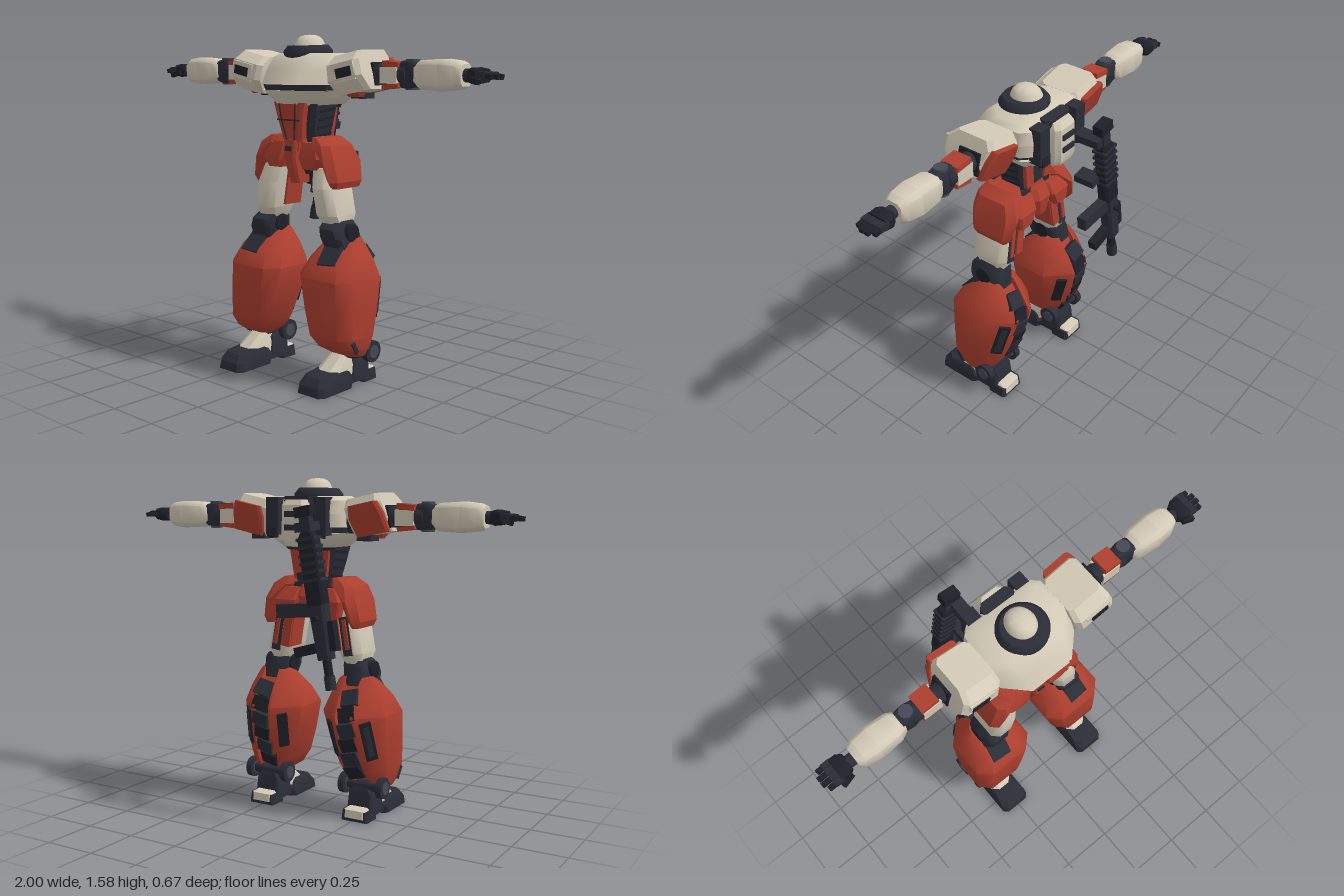
import * as THREE from 'three';
import { toCreasedNormals } from 'three/addons/utils/BufferGeometryUtils.js';

const paint = (name, color) => Object.assign(new THREE.MeshStandardMaterial({ color }), { name });

export function createModel() {
  const cream = paint('cream armour', 0xd3cab6), red = paint('red armour', 0xad3f2f);
  const dark = paint('dark frame', 0x2b2d37), black = paint('black metal', 0x1f2028);
  const grey = paint('grey joint', 0x444853);
  const model = new THREE.Group();
  model.name = 'robot';
  let parent = model, side = 1; // side mirrors every helper across x

  const add = (name, mat, geo, [x, y, z], [rx, ry, rz] = [0, 0, 0]) => {
    const m = new THREE.Mesh(geo, mat);
    m.name = name;
    m.position.set(x * side, y, z);
    m.rotation.set(rx, ry * side, rz * side);
    parent.add(m);
  };
  const box = (name, mat, size, pos, rot) => add(name, mat, new THREE.BoxGeometry(...size), pos, rot);
  const disc = (name, mat, r, len, pos, rot) =>
    add(name, mat, toCreasedNormals(new THREE.CylinderGeometry(r, r, len, 20), 0.6), pos, rot);

  // Box running from p to q: w wide, d deep along the normal n
  const bar = (name, mat, p, q, w, d, n) => {
    const a = new THREE.Vector3(p[0] * side, p[1], p[2]), b = new THREE.Vector3(q[0] * side, q[1], q[2]);
    const up = b.clone().sub(a), len = up.length();
    up.normalize();
    const right = new THREE.Vector3().crossVectors(up, new THREE.Vector3(n[0] * side, n[1], n[2])).normalize();
    const m = new THREE.Mesh(new THREE.BoxGeometry(w, len, d), mat);
    m.name = name;
    m.quaternion.setFromRotationMatrix(new THREE.Matrix4().makeBasis(right, up, right.clone().cross(up)));
    m.position.copy(a.add(b).multiplyScalar(0.5));
    parent.add(m);
  };

  // Chamfered sections [y, x0, x1, z0, z1, front chamfer, back chamfer], optional slot down the back
  const loft = (name, mat, sections, { pos = [0, 0, 0], rot, slot = 0, crease = 0.5 } = {}) => {
    const rings = sections.map(([y, a, b, z0, z1, f = 0.02, k = f]) => {
      const x0 = side < 0 ? -b : a, x1 = side < 0 ? -a : b, c = (x0 + x1) / 2;
      const cut = slot ? [[c + slot, z0], [c + slot, z0 + 0.03], [c - slot, z0 + 0.03], [c - slot, z0]] : [];
      return [[x1, z1 - f], [x1, z0 + k], [x1 - k, z0], ...cut, [x0 + k, z0], [x0, z0 + k], [x0, z1 - f],
        [x0 + f, z1], [x1 - f, z1]].map(([x, z]) => [x, y, z]);
    });
    const out = [], n = rings[0].length;
    const mid = r => [0, 1, 2].map(i => r.reduce((t, p) => t + p[i], 0) / n);
    const low = rings[0], high = rings[rings.length - 1], cl = mid(low), ch = mid(high);
    for (let i = 0; i < n; i++) {
      const j = (i + 1) % n;
      for (let k = 0; k + 1 < rings.length; k++) {
        const a = rings[k], b = rings[k + 1];
        out.push(...a[i], ...a[j], ...b[j], ...a[i], ...b[j], ...b[i]);
      }
      out.push(...cl, ...low[j], ...low[i], ...ch, ...high[i], ...high[j]);
    }
    const geo = new THREE.BufferGeometry();
    geo.setAttribute('position', new THREE.Float32BufferAttribute(out, 3));
    add(name, mat, toCreasedNormals(geo, crease), pos, rot);
  };
  const lathe = (name, mat, pts, pos, rot, zs) => {
    const geo = new THREE.LatheGeometry(pts.map(p => new THREE.Vector2(...p)), 32);
    add(name, mat, toCreasedNormals(geo, 0.8).scale(1, 1, zs), pos, rot);
  };
  const assembly = name => {
    parent = new THREE.Group();
    parent.name = name;
    model.add(parent);
    return parent;
  };

  // Head
  assembly('head');
  lathe('headCollar', dark, [[0, 0], [0.1, 0], [0.115, 0.02], [0.115, 0.045], [0.095, 0.07], [0, 0.072]], [0, 1.465, 0.047], [0.04, 0, 0], 0.97);
  lathe('headDome', cream, [[0.072, 0], [0.066, 0.02], [0.058, 0.04], [0.045, 0.056], [0.025, 0.064], [0, 0.066]], [0, 1.516, 0.036], [0, 0, 0], 1.12);

  // Chest, with a dark seam under the prow
  assembly('torso');
  loft('chest', cream, [[1.36, -0.2, 0.2, -0.12, 0.238, 0.09, 0.04], [1.42, -0.203, 0.203, -0.125, 0.205, 0.09, 0.04],
    [1.48, -0.2, 0.2, -0.115, 0.155, 0.08, 0.04], [1.5, -0.17, 0.17, -0.09, 0.125, 0.07, 0.03]], { crease: 0.8 });
  loft('chestSeam', dark, [[1.33, -0.185, 0.185, -0.1, 0.23, 0.09, 0.04], [1.362, -0.195, 0.195, -0.1, 0.235, 0.09, 0.04]]);
  loft('lowerChest', cream, [[1.268, -0.13, 0.13, -0.08, 0.185, 0.07, 0.03], [1.3, -0.165, 0.165, -0.115, 0.215, 0.09, 0.04],
    [1.335, -0.188, 0.188, -0.12, 0.238, 0.09, 0.04]], { crease: 0.8 });
  loft('chestUnderside', dark, [[1.255, -0.115, 0.115, -0.07, 0.17, 0.06, 0.03], [1.27, -0.127, 0.127, -0.078, 0.18, 0.07, 0.03]]);

  // Waist with a framed red front and back
  loft('waistCore', dark, [[1.08, -0.08, 0.08, -0.02, 0.12], [1.2, -0.11, 0.11, -0.025, 0.14], [1.29, -0.13, 0.13, -0.03, 0.15]]);
  loft('abdomen', red, [[1.1, -0.055, 0.055, 0.09, 0.165, 0.012], [1.2, -0.075, 0.075, 0.12, 0.182, 0.012], [1.28, -0.095, 0.095, 0.135, 0.19, 0.012]]);
  for (const x of [-0.04, 0.04]) bar('abdomenLine', dark, [x * 0.6, 1.11, 0.167], [x, 1.2, 0.182], 0.007, 0.006, [0, 0, 1]);
  box('abdomenLine', dark, [0.14, 0.007, 0.006], [0, 1.2, 0.182]);
  for (side of [1, -1]) {
    bar('abdomenLine', dark, [0.04, 1.2, 0.182], [0.05, 1.28, 0.19], 0.007, 0.006, [0, 0, 1]);
    bar('backRib', red, [0.06, 1.12, -0.023], [0.08, 1.26, -0.03], 0.05, 0.02, [0, 0, -1]);
    for (let i = 0; i < 4; i++) box('waistRib', black, [0.012, 0.012, 0.1], [0.094 + i * 0.008, 1.13 + i * 0.038, 0.05], [0.12, 0, 0]);
  }
  side = 1;

  // Backpack
  assembly('backpack');
  loft('packBase', dark, [[1.29, -0.09, 0.09, -0.145, -0.08], [1.5, -0.08, 0.08, -0.145, -0.08]]);
  loft('packShell', cream, [[1.28, -0.06, 0.06, -0.175, -0.12], [1.31, -0.068, 0.068, -0.188, -0.12], [1.46, -0.068, 0.068, -0.185, -0.12], [1.485, -0.055, 0.055, -0.17, -0.12]]);
  for (const y of [1.36, 1.42]) box('packVent', dark, [0.075, 0.025, 0.008], [0, y, -0.19]);
  for (side of [1, -1]) {
    box('packThruster', dark, [0.065, 0.17, 0.06], [0.125, 1.41, -0.13]);
    box('thrusterCap', black, [0.045, 0.05, 0.03], [0.125, 1.34, -0.15], [0.3, 0, 0]);
  }
  side = 1;

  // Hips
  assembly('hips');
  loft('pelvis', dark, [[0.95, -0.06, 0.06, 0, 0.1], [1.0, -0.12, 0.12, -0.02, 0.13], [1.1, -0.11, 0.11, -0.02, 0.13]]);
  loft('belt', red, [[1.06, -0.07, 0.07, -0.03, 0.165], [1.12, -0.06, 0.06, -0.02, 0.155]]);
  loft('frontGuard', red, [[0.91, -0.028, 0.028, 0.06, 0.145, 0.01], [1.03, -0.036, 0.036, 0.08, 0.185, 0.01], [1.11, -0.04, 0.04, 0.08, 0.175, 0.01]]);
  box('guardBadge', dark, [0.035, 0.022, 0.008], [0, 1.07, 0.181]);
  loft('rearGuard', red, [[0.95, -0.04, 0.04, -0.055, 0], [1.04, -0.055, 0.055, -0.07, 0], [1.09, -0.05, 0.05, -0.045, 0]]);
  for (side of [1, -1]) {
    loft('frontSkirt', red, [[0.98, 0.06, 0.15, 0.1, 0.17, 0.015], [1.03, 0.04, 0.185, 0.08, 0.178, 0.02], [1.1, 0.035, 0.15, 0.06, 0.155, 0.02]]);
    loft('sideSkirt', red, [[0.9, 0.215, 0.25, -0.03, 0.14, 0.01], [0.93, 0.2, 0.262, -0.055, 0.17, 0.03],
      [1.02, 0.165, 0.245, -0.07, 0.182, 0.035], [1.09, 0.1, 0.215, -0.04, 0.17, 0.03], [1.125, 0.1, 0.16, -0.02, 0.15, 0.02]]);
    loft('rearSkirt', red, [[0.95, 0.09, 0.17, -0.068, -0.02, 0.01], [1.02, 0.06, 0.18, -0.072, -0.01, 0.01], [1.08, 0.05, 0.14, -0.04, 0, 0.01]]);
  }

  for (side of [1, -1]) {
    // Leg
    assembly(side > 0 ? 'leftLeg' : 'rightLeg');
    loft('thigh', cream, [[0.73, 0.155, 0.25, 0.0, 0.13, 0.025], [0.78, 0.133, 0.257, -0.02, 0.17, 0.03], [0.9, 0.112, 0.232, -0.02, 0.175, 0.03], [0.99, 0.097, 0.21, -0.01, 0.15, 0.03]], { crease: 0.8 });
    bar('thighInnerPanel', red, [0.13, 0.79, 0.03], [0.103, 0.95, 0.03], 0.1, 0.022, [-1, 0, 0]);
    bar('thighRearPanel', red, [0.145, 0.79, -0.02], [0.118, 0.95, -0.018], 0.045, 0.02, [0, 0, -1]);
    bar('thighStrip', dark, [0.2, 0.77, -0.02], [0.17, 0.95, -0.018], 0.045, 0.012, [0, 0, -1]);
    bar('thighStripe', red, [0.2, 0.8, -0.024], [0.175, 0.94, -0.022], 0.02, 0.018, [0, 0, -1]);
    loft('knee', dark, [[0.6, 0.175, 0.295, -0.02, 0.13], [0.68, 0.16, 0.285, -0.01, 0.165], [0.72, 0.155, 0.272, -0.005, 0.165], [0.76, 0.155, 0.25, 0.01, 0.12]], { crease: 0.8 });
    disc('kneeHub', black, 0.04, 0.145, [0.222, 0.7, 0.07], [0, 0, Math.PI / 2]);
    bar('kneePlate', dark, [0.245, 0.56, 0.195], [0.232, 0.67, 0.098], 0.1, 0.03, [0, 0.7, 1]);
    loft('shin', red, [[0.15, 0.2, 0.368, 0.03, 0.14, 0.03, 0.03], [0.185, 0.15, 0.38, -0.005, 0.192, 0.045, 0.06],
      [0.24, 0.125, 0.384, -0.045, 0.23, 0.05, 0.08], [0.36, 0.09, 0.387, -0.09, 0.232, 0.055, 0.1], [0.5, 0.06, 0.387, -0.12, 0.232, 0.06, 0.11],
      [0.58, 0.095, 0.355, -0.08, 0.19, 0.055, 0.08], [0.655, 0.13, 0.317, -0.03, 0.105, 0.04, 0.05], [0.675, 0.155, 0.3, -0.01, 0.07, 0.03, 0.03]],
    { slot: 0.04, crease: 0.85 });
    // Segmented calf plates in the rear channel
    const calf = [[0.2, 0.0], [0.27, -0.045], [0.34, -0.072], [0.41, -0.092], [0.48, -0.106], [0.55, -0.09], [0.62, -0.045]];
    for (let i = 0; i + 1 < calf.length; i++) {
      const [y0, z0] = calf[i], [y1, z1] = calf[i + 1];
      bar('calfPlate', i % 2 ? dark : black, [0.245, y0, z0 + 0.003], [0.23, y1 - 0.008, z1 + 0.003], 0.084, 0.035, [0, 0, -1]);
    }
    // Side slots
    bar('outerSlot', black, [0.336, 0.3, -0.033], [0.318, 0.48, -0.081], 0.055, 0.016, [1, -0.2, -1]);
    bar('outerSlotInset', dark, [0.337, 0.32, -0.04], [0.322, 0.46, -0.078], 0.028, 0.02, [1, -0.2, -1]);
    bar('innerSlot', black, [0.15, 0.3, -0.028], [0.132, 0.47, -0.078], 0.05, 0.016, [-1, -0.2, -1]);
    bar('frontVent', dark, [0.379, 0.175, 0.14], [0.382, 0.23, 0.175], 0.02, 0.008, [1, 0, 0]);
    loft('shinUnderside', dark, [[0.14, 0.21, 0.355, 0.04, 0.13, 0.02], [0.152, 0.205, 0.362, 0.035, 0.136, 0.02]]);

    // Ankle and foot
    disc('ankleAxle', dark, 0.025, 0.21, [0.262, 0.155, 0.02], [0, 0, Math.PI / 2]);
    for (const x of [0.165, 0.362]) {
      disc('ankleHub', dark, 0.05, 0.03, [x, 0.155, 0.02], [0, 0, Math.PI / 2]);
      disc('ankleCap', grey, 0.03, 0.038, [x, 0.155, 0.02], [0, 0, Math.PI / 2]);
    }
    loft('ankleBlock', dark, [[0.04, 0.193, 0.327, -0.02, 0.105, 0.01], [0.125, 0.2, 0.32, -0.015, 0.1, 0.01], [0.16, 0.22, 0.3, 0, 0.07, 0.01]]);
    loft('instep', cream, [[0.06, 0.195, 0.325, 0.1, 0.25, 0.03, 0.01], [0.09, 0.2, 0.32, 0.09, 0.225, 0.03, 0.01], [0.155, 0.215, 0.305, 0.07, 0.135, 0.02, 0.01], [0.2, 0.225, 0.295, 0.06, 0.1, 0.01]]);
    loft('toe', dark, [[0, 0.18, 0.338, 0.11, 0.335, 0.02], [0.04, 0.182, 0.336, 0.09, 0.33, 0.025], [0.075, 0.19, 0.328, 0.1, 0.3, 0.03], [0.088, 0.2, 0.318, 0.12, 0.235, 0.03]]);
    box('sole', dark, [0.13, 0.03, 0.16], [0.26, 0.03, 0.06]);
    loft('heel', dark, [[0, 0.19, 0.33, -0.07, 0.03, 0.01], [0.05, 0.195, 0.325, -0.066, 0.04, 0.01]]);
    loft('heelGuard', cream, [[0.015, 0.205, 0.315, -0.073, 0, 0.01], [0.052, 0.205, 0.315, -0.069, 0, 0.01], [0.06, 0.215, 0.305, -0.04, 0, 0.01]]);

    // Shoulder, its rear slanting inward below
    assembly(side > 0 ? 'leftArm' : 'rightArm');
    const tilt = { pos: [0.3, 1.41, 0], rot: [0, 0, 0.2] };
    loft('shoulder', cream, [[-0.085, -0.085, 0.1, -0.03, 0.125, 0.02], [-0.02, -0.095, 0.1, -0.06, 0.172, 0.02],
      [0.05, -0.095, 0.092, -0.085, 0.165, 0.02], [0.09, -0.085, 0.085, -0.065, 0.115, 0.02]], tilt);
    box('shoulderVent', cream, [0.125, 0.08, 0.016], [0.312, 1.418, 0.163], [0.08, 0, 0.2]);
    box('shoulderVentInset', black, [0.085, 0.042, 0.009], [0.316, 1.418, 0.172], [0.08, 0, 0.2]);
    loft('shoulderRear', red, [[-0.085, -0.06, 0.1, -0.06, -0.02, 0.01], [0, -0.07, 0.1, -0.095, -0.05, 0.012], [0.055, -0.055, 0.085, -0.112, -0.07, 0.01]], tilt);
    loft('shoulderUnder', red, [[1.31, 0.27, 0.33, 0.03, 0.1, 0.02], [1.34, 0.24, 0.345, 0.02, 0.125, 0.02]]);
    box('shoulderUnderFrame', dark, [0.07, 0.03, 0.08], [0.285, 1.315, 0.0]);
    disc('shoulderJoint', dark, 0.07, 0.12, [0.22, 1.4, 0.02], [0, 0, Math.PI / 2]);
    box('shoulderSocket', black, [0.02, 0.1, 0.11], [0.398, 1.41, 0.02], [0, 0, 0.2]);

    // Arm along x
    disc('upperArm', dark, 0.045, 0.2, [0.46, 1.41, 0.02], [0, 0, Math.PI / 2]);
    box('upperArmPlate', cream, [0.09, 0.07, 0.092], [0.475, 1.405, 0.02]);
    box('upperArmTop', red, [0.085, 0.025, 0.09], [0.482, 1.452, 0.017], [0, 0, -0.1]);
    box('upperArmBottom', red, [0.085, 0.02, 0.085], [0.482, 1.36, 0.02], [0, 0, 0.12]);
    // Limb sections are drawn upright, then laid outward along the arm
    const limb = { pos: [0, 1.41, 0.02], rot: [0, 0, -Math.PI / 2], crease: 0.8 };
    loft('elbow', dark, [[0.525, -0.055, 0.055, -0.03, 0.03, 0.012], [0.565, -0.062, 0.062, -0.038, 0.038, 0.012], [0.615, -0.05, 0.05, -0.036, 0.036, 0.012]], limb);
    disc('elbowPin', grey, 0.03, 0.13, [0.572, 1.41, 0.018]);
    loft('forearm', cream, [[0.605, -0.045, 0.045, -0.04, 0.04, 0.018], [0.64, -0.06, 0.06, -0.056, 0.056, 0.02], [0.74, -0.066, 0.066, -0.063, 0.063, 0.022],
      [0.81, -0.058, 0.058, -0.056, 0.056, 0.02], [0.84, -0.045, 0.045, -0.042, 0.042, 0.018]], limb);
    disc('wrist', dark, 0.028, 0.06, [0.85, 1.41, 0.022], [0, 0, Math.PI / 2]);
    loft('palm', black, [[0.865, -0.026, 0.026, -0.035, 0.035, 0.01], [0.89, -0.033, 0.033, -0.05, 0.05, 0.012], [0.925, -0.026, 0.026, -0.052, 0.052, 0.012]], limb);
    for (let i = 0; i < 4; i++) {
      const z = -0.022 + i * 0.028, tip = i === 1 || i === 2 ? 0.999 : 0.985;
      bar('fingerBase', dark, [0.915, 1.415, z], [0.958, 1.412, z], 0.024, 0.026, [0, 1, 0]);
      bar('fingerTip', black, [0.955, 1.411, z], [tip, 1.405, z], 0.02, 0.02, [0, 1, 0]);
    }
    bar('thumb', black, [0.88, 1.4, 0.068], [0.935, 1.385, 0.08], 0.022, 0.022, [0, 0, 1]);
  }
  side = 1;

  // Rifle slung behind, muzzle down and outward
  const rifle = assembly('rifle');
  rifle.position.set(-0.12, 1.455, -0.28);
  rifle.rotation.z = -0.175;
  box('buttCap', black, [0.08, 0.045, 0.05], [0, -0.022, 0]);
  box('stock', dark, [0.05, 0.1, 0.035], [0, -0.08, 0]);
  loft('receiver', black, [[-0.43, -0.045, 0.045, -0.032, 0.03, 0.01], [-0.14, -0.045, 0.045, -0.032, 0.03, 0.01], [-0.11, -0.03, 0.03, -0.025, 0.025, 0.01]]);
  loft('handguard', dark, [[-0.67, -0.035, 0.035, -0.03, 0.03, 0.012], [-0.43, -0.042, 0.042, -0.033, 0.033, 0.012]]);
  for (let i = 0; i < 6; i++) box('railRib', dark, [0.094, 0.014, 0.066], [0, -0.14 - i * 0.036, 0]);
  disc('barrel', black, 0.02, 0.14, [0, -0.71, 0]);
  disc('muzzle', dark, 0.025, 0.06, [0, -0.775, 0]);
  box('magazine', dark, [0.18, 0.06, 0.045], [0.12, -0.44, 0], [0, 0, 0.1]);
  box('foregrip', black, [0.12, 0.045, 0.04], [0.09, -0.62, 0], [0, 0, -0.1]);
  box('scope', black, [0.035, 0.13, 0.04], [-0.05, -0.57, 0]);
  disc('sideKnob', black, 0.012, 0.06, [0, -0.485, -0.028], [Math.PI / 2, 0, 0]);
  box('grip', dark, [0.07, 0.035, 0.1], [0.06, -0.295, 0.06]);
  box('mountArm', dark, [0.06, 0.04, 0.12], [0.03, -0.085, 0.05]);

  return model;
}
